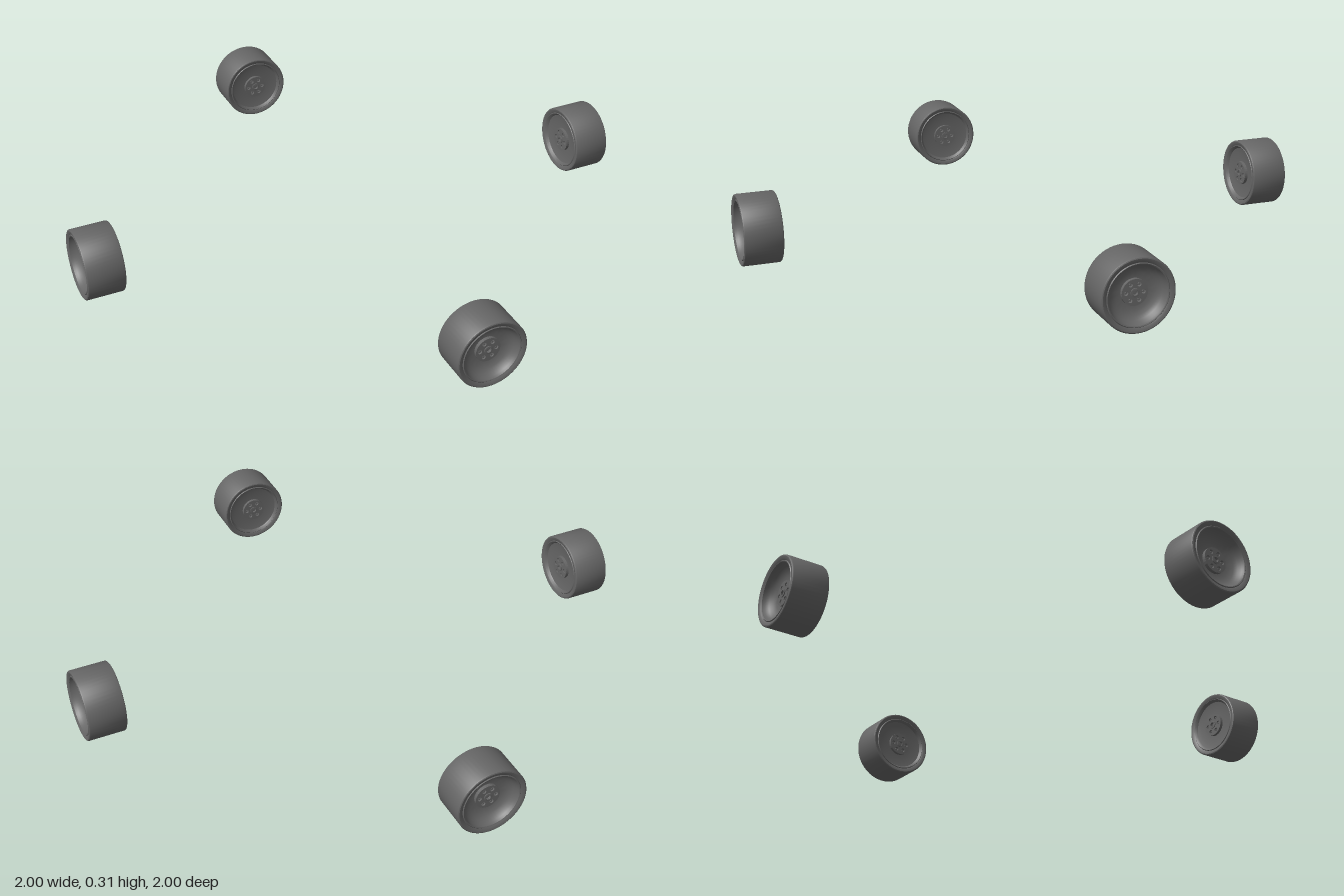
import * as THREE from 'three';
import { toCreasedNormals } from 'three/addons/utils/BufferGeometryUtils.js';

const RADIUS = 0.153, HALF = 0.083, OFFSET = 0.834;

// Disc facing +z with a ring of round holes and a centre bore
function holedDisc(radius, depth, count, ringRadius, holeRadius, bore) {
  const shape = new THREE.Shape().absarc(0, 0, radius, 0, Math.PI * 2, false);
  const addHole = (x, y, r) =>
    shape.holes.push(new THREE.Path().absarc(x, y, r, 0, Math.PI * 2, true));
  for (let i = 0; i < count; i++) {
    const a = (i / count) * Math.PI * 2;
    addHole(Math.cos(a) * ringRadius, Math.sin(a) * ringRadius, holeRadius);
  }
  addHole(0, 0, bore);
  return new THREE.ExtrudeGeometry(shape, { depth, bevelEnabled: false, curveSegments: 16 });
}

// Lathe turned so its axis runs along z
function turned(points) {
  const geo = new THREE.LatheGeometry(points.map(([r, z]) => new THREE.Vector2(r, z)), 56);
  return toCreasedNormals(geo.rotateX(Math.PI / 2), 0.6);
}

export function createModel() {
  const grey = new THREE.MeshStandardMaterial({ color: 0x666666 });
  grey.name = 'dark grey';

  // Tyre: flat tread with slightly eased shoulders, open in the middle
  const tyreGeo = turned([
    [0.129, -0.076], [0.136, -0.081], [0.147, -HALF], [0.151, -0.081], [RADIUS, -0.077],
    [RADIUS, 0.077], [0.151, 0.081], [0.147, HALF], [0.136, 0.081], [0.129, 0.076],
  ]);
  // Deep outer dish
  const dishGeo = turned([
    [0.131, 0.076], [0.127, 0.080], [0.123, 0.078], [0.119, 0.066], [0.110, 0.052],
    [0.096, 0.041], [0.078, 0.034], [0.058, 0.031], [0, 0.031],
  ]);
  // Shallow inner face
  const backGeo = turned([
    [0, -0.061], [0.058, -0.061], [0.095, -0.063], [0.117, -0.068],
    [0.123, -0.077], [0.127, -0.080], [0.131, -0.076],
  ]);
  const flangeGeo = holedDisc(0.054, 0.014, 6, 0.036, 0.009, 0.014);
  const nutGeo = new THREE.CylinderGeometry(0.005, 0.005, 0.012, 6).rotateX(Math.PI / 2);
  const capGeo = turned([[0.018, 0], [0.018, 0.004], [0.011, 0.005], [0.011, -0.006], [0, -0.006]]);

  // Bolted hub, facing +z
  function makeHub(name) {
    const hub = new THREE.Group();
    hub.name = name;
    const add = (geo, part, x = 0, y = 0, z = 0) => {
      const mesh = new THREE.Mesh(geo, grey);
      mesh.name = part;
      mesh.position.set(x, y, z);
      hub.add(mesh);
    };
    add(flangeGeo, 'hubFlange');
    add(capGeo, 'hubBearing', 0, 0, 0.014);
    for (let i = 0; i < 6; i++) {
      const a = (i / 6) * Math.PI * 2;
      add(nutGeo, 'wheelNut', Math.cos(a) * 0.036, Math.sin(a) * 0.036, 0.006);
    }
    return hub;
  }

  function makeWheel(name) {
    const wheel = new THREE.Group();
    wheel.name = name;
    for (const [geo, part] of [[tyreGeo, 'tyre'], [dishGeo, 'rimDish'], [backGeo, 'rimBack']]) {
      const mesh = new THREE.Mesh(geo, grey);
      mesh.name = part;
      wheel.add(mesh);
    }
    const outer = makeHub('outerHub');
    outer.position.z = 0.031;
    const inner = makeHub('innerHub');
    inner.rotation.y = Math.PI;
    inner.position.z = -0.061;
    wheel.add(outer, inner);
    return wheel;
  }

  // Four wheels at the corners, each dish facing outward along the diagonal
  const model = new THREE.Group();
  model.name = 'wheelSet';
  for (const sx of [1, -1]) {
    for (const sz of [1, -1]) {
      const wheel = makeWheel((sz > 0 ? 'front' : 'back') + (sx > 0 ? 'Left' : 'Right') + 'Wheel');
      wheel.position.set(sx * OFFSET, RADIUS, sz * OFFSET);
      wheel.rotation.y = Math.atan2(sx, sz);
      model.add(wheel);
    }
  }
  return model;
}
